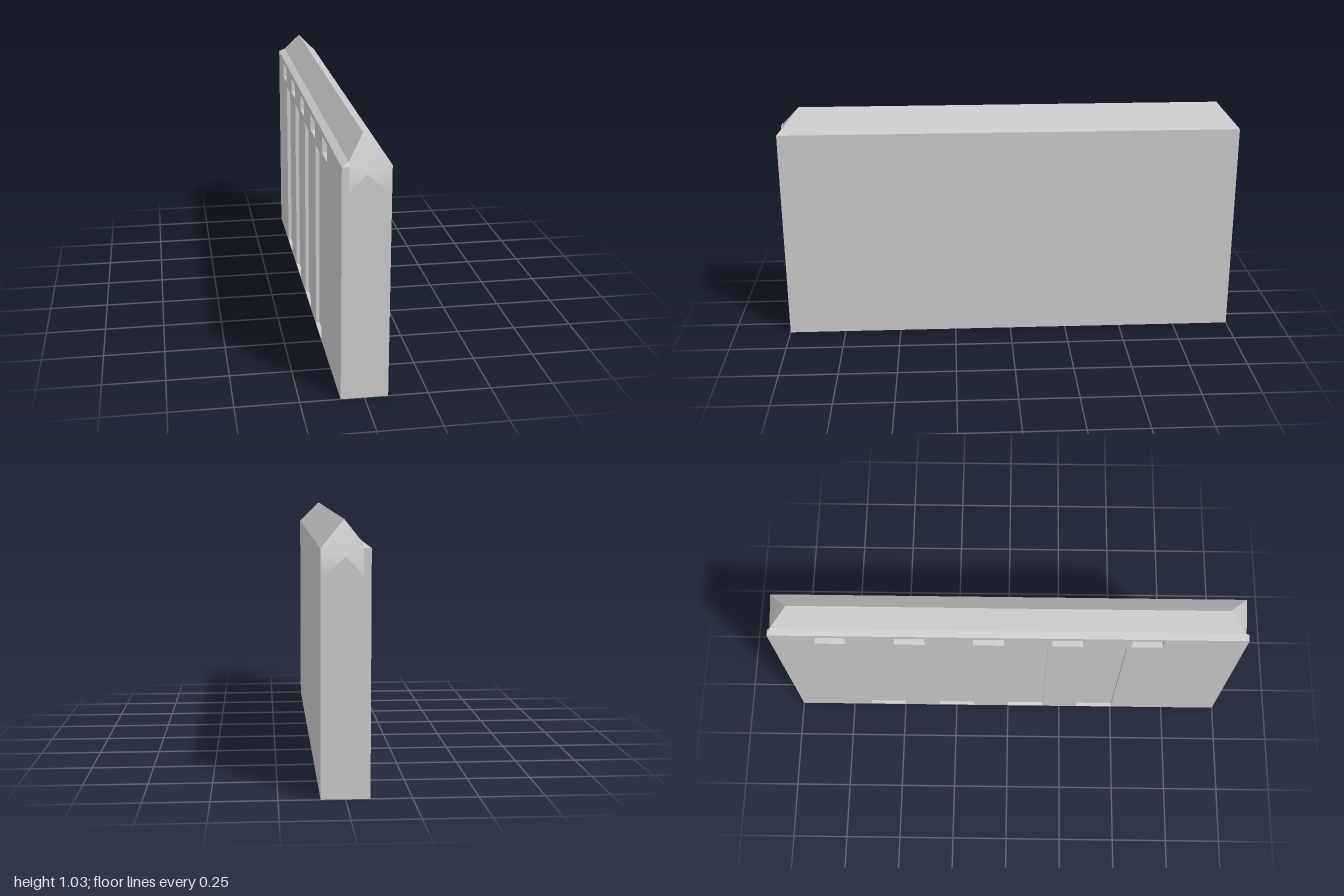
import * as THREE from 'three';

const W = 0.0925;      // half thickness
const INNER = -0.065;  // plane between core and facade
const EAVE = 0.93;
const CHANNEL = 0.016; // depth of the tall recesses
const material = new THREE.MeshStandardMaterial({ color: 0xcccccc, side: THREE.DoubleSide });

function addMesh(group, name, geometry) {
  const mesh = new THREE.Mesh(geometry, material);
  mesh.name = name;
  group.add(mesh);
}

// Triangles from a list of points; indexed geometry gets smooth normals.
function fromPoints(points, index) {
  const geo = new THREE.BufferGeometry();
  geo.setAttribute('position', new THREE.Float32BufferAttribute(points.flat(), 3));
  geo.setIndex(index);
  return geo;
}

// Flat strips running between an open profile and its mirror at -z.
function prism(profile) {
  const points = [...profile, ...profile.map(([x, y, z]) => [x, y, -z])];
  const n = profile.length;
  const index = [];
  for (let i = 0; i < n - 1; i++) index.push(i, i + 1, i + n, i + 1, i + 1 + n, i + n);
  const geo = fromPoints(points, index).toNonIndexed();
  geo.computeVertexNormals();
  return geo;
}

function endCap(points, index, side) {
  const tris = side > 0 ? index : [...index].reverse();
  const geo = fromPoints(points.map(([x, y, z]) => [x, y, z * side]), tris);
  geo.computeVertexNormals();
  return geo;
}

function rectHole(z0, z1, y0, y1) {
  return new THREE.Path([[z0, y0], [z0, y1], [z1, y1], [z1, y0]].map(p => new THREE.Vector2(...p)));
}

// Upright slab in the z-y plane, growing towards -x from x0.
function facadeLayer(x0, depth, holes) {
  const shape = new THREE.Shape([[-1, 0], [1, 0], [1, EAVE], [-1, EAVE]].map(p => new THREE.Vector2(...p)));
  shape.holes.push(...holes);
  const geo = new THREE.ExtrudeGeometry(shape, { depth, bevelEnabled: false });
  return geo.rotateY(-Math.PI / 2).translate(x0, 0, 0);
}

export function createModel() {
  const model = new THREE.Group();
  model.name = 'wallBlock';

  // Core wall with a gabled top that meets the roof
  const core = new THREE.Shape([[INNER, 0], [W, 0], [W, 0.82], [0, 0.9], [INNER, 0.83]].map(p => new THREE.Vector2(...p)));
  addMesh(model, 'core', new THREE.ExtrudeGeometry(core, { depth: 2, bevelEnabled: false }).translate(0, 0, -1));

  // Roof with sloping ends
  const roof = [[INNER, 0.83, 1], [INNER, 0.945, 0.986], [0, 1.03, 0.91], [W, EAVE, 1], [W, 0.82, 1]];
  addMesh(model, 'roof', prism(roof));
  const endPoints = [...roof, [0, 0.9, 1]];
  const endTris = [4, 3, 5, 3, 2, 5, 2, 1, 5, 1, 0, 5];

  // Sloping ledge over the facade
  const ledge = [[-W, EAVE, 1], [INNER, 0.945, 0.986]];
  addMesh(model, 'facadeLedge', prism(ledge));

  for (const side of [1, -1]) {
    const label = side > 0 ? 'front' : 'back';
    addMesh(model, label + 'RoofEnd', endCap(endPoints, endTris, side));
    addMesh(model, label + 'LedgeEnd', endCap([...ledge, [INNER, EAVE, 1]], [0, 2, 1], side));
  }

  // Facade: five deep windows and four tall shallow recesses
  const windows = () => Array.from({ length: 5 }, (_, i) => {
    const z = -0.749 + 0.334 * i;
    return rectHole(z - 0.066, z + 0.066, 0.84, 0.908);
  });
  const channels = Array.from({ length: 4 }, (_, i) => {
    const z = -0.583 + 0.334 * i;
    return rectHole(z - 0.085, z + 0.085, 0.005, 0.818);
  });
  const innerDepth = W + INNER - CHANNEL;
  addMesh(model, 'facadeBacking', facadeLayer(INNER, innerDepth, windows()));
  addMesh(model, 'facadeFace', facadeLayer(INNER - innerDepth, CHANNEL, [...windows(), ...channels]));

  return model;
}
